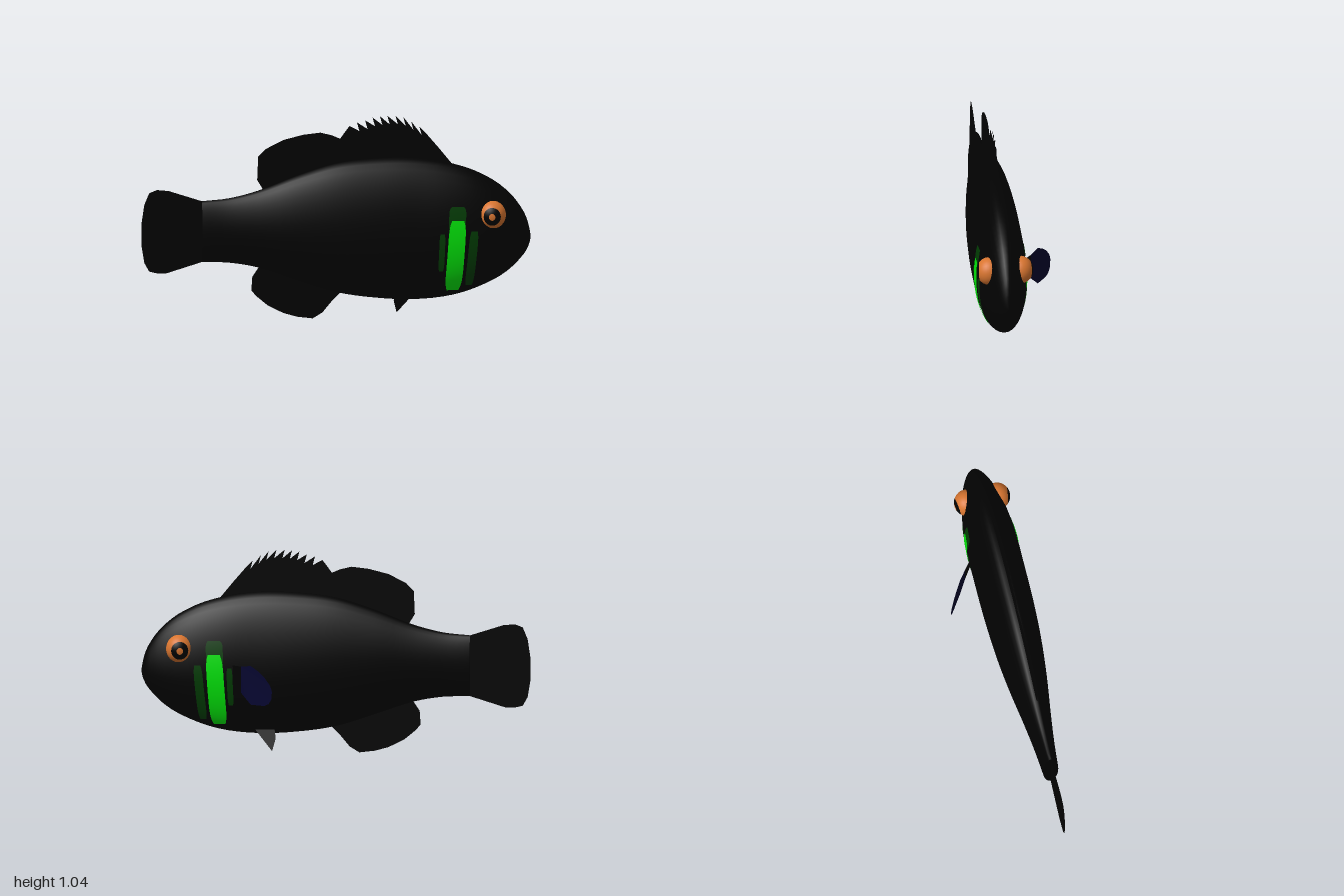
import * as THREE from 'three';

const mat = (name, color) => {
  const m = new THREE.MeshStandardMaterial({ color, side: THREE.DoubleSide });
  m.name = name;
  return m;
};

const MID_Z = 0.068; // plane of symmetry of the body

// Body stations: x, then top y, widest y, bottom y, half width
const STATIONS = [
  [-0.69, 0.615, 0.455, 0.3, 0.04], [-0.55, 0.628, 0.455, 0.295, 0.053],
  [-0.4, 0.665, 0.455, 0.268, 0.072], [-0.2, 0.74, 0.45, 0.2, 0.1],
  [0, 0.8, 0.44, 0.135, 0.12], [0.2, 0.822, 0.43, 0.103, 0.13],
  [0.4, 0.822, 0.42, 0.092, 0.132], [0.6, 0.79, 0.42, 0.112, 0.13],
  [0.75, 0.735, 0.42, 0.16, 0.116], [0.87, 0.655, 0.42, 0.225, 0.087],
  [0.95, 0.56, 0.415, 0.3, 0.053], [0.985, 0.485, 0.41, 0.352, 0.027],
  [0.998, 0.425, 0.408, 0.392, 0.007], [1, 0.409, 0.408, 0.407, 0.001],
];
const interpolant = new THREE.CubicInterpolant(
  new Float32Array(STATIONS.map((s) => s[0])),
  new Float32Array(STATIONS.flatMap((s) => s.slice(1))), 4);
const section = (x) => {
  const [top, mid, bottom, half] = interpolant.evaluate(x);
  return { top, mid, bottom, half };
};

// The back is a little narrower than an ellipse; t is the relative height
const narrowing = (t) => (t > 0 ? 1 - 0.1 * t * t : 1);

// Half width of the body at a given x and y
function sideDepth(x, y) {
  const s = section(x);
  const t = (y - s.mid) / (y > s.mid ? s.top - s.mid : s.mid - s.bottom);
  return s.half * Math.sqrt(Math.max(0, 1 - t * t)) * narrowing(t);
}

// Grid of points (rows x columns) joined into a smooth surface
function gridGeometry(rows, closed) {
  const n = rows[0].length;
  const index = [];
  for (let i = 0; i < rows.length - 1; i++) {
    for (let j = 0; j < (closed ? n : n - 1); j++) {
      const k = (j + 1) % n;
      const a = i * n + j, b = i * n + k, c = (i + 1) * n + j, d = (i + 1) * n + k;
      index.push(a, b, c, b, d, c);
    }
  }
  const g = new THREE.BufferGeometry();
  g.setAttribute('position', new THREE.Float32BufferAttribute(rows.flat(2), 3));
  g.setIndex(index);
  g.computeVertexNormals();
  return g;
}

function bodyGeometry() {
  const rows = [];
  const sides = 36, steps = 4;
  for (let i = 0; i <= (STATIONS.length - 1) * steps; i++) {
    const k = Math.min(Math.floor(i / steps), STATIONS.length - 2);
    const x = THREE.MathUtils.lerp(STATIONS[k][0], STATIONS[k + 1][0], i / steps - k);
    const s = section(x);
    rows.push(Array.from({ length: sides }, (_, j) => {
      const a = (j / sides) * Math.PI * 2, c = Math.cos(a);
      const r = c > 0 ? s.top - s.mid : s.mid - s.bottom;
      return [x, s.mid + c * r, MID_Z + Math.sin(a) * s.half * narrowing(c)];
    }));
  }
  return gridGeometry(rows, true);
}

// Painted patch that hugs the flank; side is +1 or -1
function patchGeometry({ y0, y1, x0, x1, w, lift }, side) {
  const rows = [];
  for (let i = 0; i <= 20; i++) {
    const v = i / 20;
    const y = THREE.MathUtils.lerp(y0, y1, v);
    const cx = THREE.MathUtils.lerp(x0, x1, v);
    const half = (w / 2) * (0.7 + 0.3 * (1 - (2 * v - 1) ** 6));
    rows.push(Array.from({ length: 7 }, (_, j) => {
      const x = cx + half * (j / 3 - 1);
      return [x, y, MID_Z + side * (sideDepth(x, y) + lift)];
    }));
  }
  return gridGeometry(rows, false);
}

// Flat fin outline in the x-y plane
const finGeometry = (pts) =>
  new THREE.ShapeGeometry(new THREE.Shape(pts.map((p) => new THREE.Vector2(...p))));

export function createModel() {
  const black = mat('black skin', 0x020202);
  const green = mat('bright green', 0x00ec08);
  const darkGreen = mat('dark green', 0x003c02);
  const orange = mat('orange', 0xd87530);
  const navy = mat('navy', 0x04042e);

  const model = new THREE.Group();
  model.name = 'fish';
  const add = (name, geometry, material, parent = model) => {
    const mesh = new THREE.Mesh(geometry, material);
    mesh.name = name;
    parent.add(mesh);
    return mesh;
  };

  add('body', bodyGeometry(), black);

  // Closing disc where the body meets the tail
  const cap = add('bodyEnd', new THREE.CircleGeometry(1, 36), black);
  cap.rotation.y = -Math.PI / 2;
  cap.scale.set(0.04, 0.157, 1);
  cap.position.set(-0.69, 0.457, MID_Z);

  // Serrated front dorsal fin with spines leaning backwards
  const tips = [[0.108, 1.01], [0.15, 1.02], [0.188, 1.034], [0.226, 1.04], [0.264, 1.042],
    [0.306, 1.042], [0.346, 1.034], [0.386, 1.012], [0.428, 0.985]];
  const spiny = [[0.0, 0.75], [0.02, 0.925], [0.045, 0.96], [0.07, 0.992]];
  tips.forEach(([x, y]) => spiny.push([x + 0.012, y - 0.045], [x, y]));
  spiny.push([0.47, 0.94], [0.53, 0.87], [0.595, 0.79], [0.55, 0.72]);

  // Fins on the centre plane
  const fins = {
    tailFin: [[-0.66, 0.61], [-0.69, 0.615], [-0.86, 0.67], [-0.92, 0.676], [-0.96, 0.66],
      [-0.985, 0.6], [-1, 0.5], [-1, 0.39], [-0.985, 0.3], [-0.96, 0.255], [-0.92, 0.245],
      [-0.87, 0.245], [-0.69, 0.3], [-0.66, 0.31]],
    frontDorsalFin: spiny,
    rearDorsalFin: [[-0.34, 0.6], [-0.375, 0.67], [-0.405, 0.72], [-0.4, 0.84], [-0.36, 0.88],
      [-0.27, 0.925], [-0.17, 0.95], [-0.08, 0.96], [-0.02, 0.945], [0.025, 0.925], [0.05, 0.75]],
    analFin: [[-0.36, 0.35], [-0.4, 0.265], [-0.43, 0.22], [-0.435, 0.15], [-0.41, 0.12],
      [-0.35, 0.07], [-0.27, 0.03], [-0.2, 0.01], [-0.12, 0], [-0.07, 0.03], [-0.02, 0.09],
      [0.025, 0.135], [0.04, 0.25]],
  };
  for (const [name, pts] of Object.entries(fins)) {
    add(name, finGeometry(pts), black).position.z = MID_Z;
  }

  // Pectoral fin on the right flank: outline in (z, y), swept backwards in x
  const sweep = (pts) => {
    const g = finGeometry(pts);
    const p = g.attributes.position;
    for (let i = 0; i < p.count; i++) {
      const z = p.getX(i), out = -0.065 - z;
      p.setXYZ(i, 0.515 - 1.2 * out - 1.5 * out * out, p.getY(i), z);
    }
    g.computeVertexNormals();
    return g;
  };
  add('pectoralFinRoot', sweep([[-0.055, 0.46], [-0.1, 0.46], [-0.1, 0.325], [-0.055, 0.37]]), black);
  add('pectoralFin', sweep([[-0.1, 0.46], [-0.14, 0.47], [-0.165, 0.45], [-0.19, 0.42],
    [-0.21, 0.38], [-0.216, 0.35], [-0.214, 0.31], [-0.205, 0.285], [-0.19, 0.272],
    [-0.14, 0.27], [-0.1, 0.325]]), navy);

  // Small pelvic fin leaning outwards
  const pelvic = finGeometry([[0.42, 0.13], [0.395, 0.1], [0.32, 0.012], [0.303, 0.075],
    [0.312, 0.13]]);
  const pp = pelvic.attributes.position;
  for (let i = 0; i < pp.count; i++) pp.setZ(i, 0.3 * (pp.getY(i) - 0.062));
  pelvic.computeVertexNormals();
  add('pelvicFin', pelvic, black);

  // Cheek bands and eyes, one set on each flank
  const patches = [
    ['cheekStripe', { y0: 0.145, y1: 0.512, x0: 0.592, x1: 0.615, w: 0.088, lift: 0.004 }, green],
    ['cheekStripeTop', { y0: 0.45, y1: 0.582, x0: 0.61, x1: 0.615, w: 0.088, lift: 0.002 }, darkGreen],
    ['cheekStripeRear', { y0: 0.25, y1: 0.445, x0: 0.528, x1: 0.535, w: 0.03, lift: 0.002 }, darkGreen],
    ['cheekStripeFront', { y0: 0.17, y1: 0.455, x0: 0.675, x1: 0.7, w: 0.046, lift: 0.002 }, darkGreen],
  ];
  for (const [side, label] of [[1, 'left'], [-1, 'right']]) {
    for (const [name, spec, material] of patches) {
      add(`${label} ${name}`, patchGeometry(spec, side), material);
    }
    const eye = new THREE.Group();
    eye.name = `${label} eye`;
    eye.position.set(0.797, 0.534, MID_Z + side * 0.08);
    eye.scale.set(0.068, 0.072, side * 0.066);
    // Eyeball in three bands around an axis turned slightly back and down
    const bands = [['pupilCentre', 0, 0.25, orange], ['pupil', 0.25, 0.7, black],
      ['eyeball', 0.7, Math.PI, orange]];
    for (const [name, from, to, material] of bands) {
      const g = new THREE.SphereGeometry(1, 32, 14, 0, Math.PI * 2, from, to - from);
      add(name, g.rotateX(Math.PI / 2 + 0.06).rotateY(-0.14), material, eye);
    }
    model.add(eye);
  }
  return model;
}
